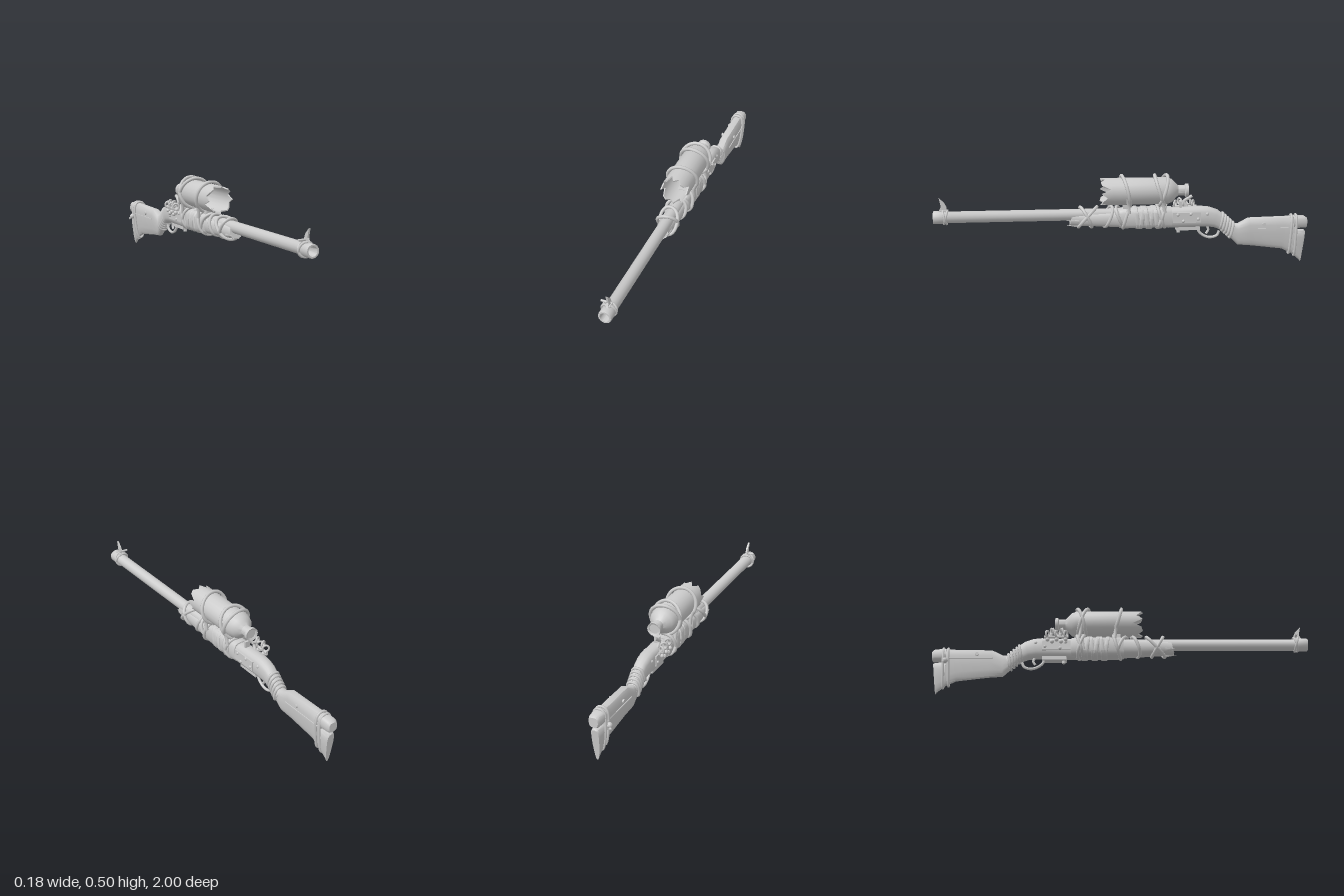
import * as THREE from 'three';
import { toCreasedNormals } from 'three/addons/utils/BufferGeometryUtils.js';

const grey = new THREE.MeshStandardMaterial({ color: 0xcccccc });
const greyDouble = new THREE.MeshStandardMaterial({ color: 0xcccccc, side: THREE.DoubleSide });

// A section is [topZ, topY, bottomZ, bottomY, halfWidth, bottomWidthRatio, yaw]
function ring([zt, yt, zb, yb, w, k = 1, yaw = 0], n = 16, power = 0.7) {
  const pts = [];
  for (let i = 0; i < n; i++) {
    const a = (i / n) * Math.PI * 2;
    const c = Math.cos(a), s = Math.sin(a);
    const t = (1 - Math.sign(s) * Math.abs(s) ** power) / 2;
    const x = Math.sign(c) * Math.abs(c) ** power * w * THREE.MathUtils.lerp(1, k, t);
    pts.push(new THREE.Vector3(x, THREE.MathUtils.lerp(yt, yb, t), THREE.MathUtils.lerp(zt, zb, t) + yaw * x));
  }
  return pts;
}

// Skin of sections running from front to back, with both ends closed
function loft(sections, power = 0.7, n = 16) {
  const pos = [], idx = [];
  const rings = sections.map(s => ring(s, n, power));
  rings.forEach(r => r.forEach(p => pos.push(p.x, p.y, p.z)));
  for (let i = 0; i < rings.length - 1; i++) {
    for (let j = 0; j < n; j++) {
      const a = i * n + j, b = i * n + (j + 1) % n;
      idx.push(a, a + n, b, b, a + n, b + n);
    }
  }
  [0, rings.length - 1].forEach(e => {
    const mid = new THREE.Vector3();
    rings[e].forEach(p => mid.addScaledVector(p, 1 / n));
    const c = pos.length / 3;
    pos.push(mid.x, mid.y, mid.z);
    for (let j = 0; j < n; j++) {
      const a = e * n + j, b = e * n + (j + 1) % n;
      idx.push(c, ...(e === 0 ? [a, b] : [b, a]));
    }
  });
  const g = new THREE.BufferGeometry();
  g.setAttribute('position', new THREE.Float32BufferAttribute(pos, 3));
  g.setIndex(idx);
  return toCreasedNormals(g, 0.7);
}

// Profile of [radius, z] turned about the long axis
function lathe(profile, segments) {
  const g = new THREE.LatheGeometry(profile.map(p => new THREE.Vector2(...p)), segments);
  return g.rotateX(Math.PI / 2);
}

const tube = (pts, r, closed = false, steps = 32) =>
  new THREE.TubeGeometry(new THREE.CatmullRomCurve3(pts, closed), steps, r, 7, closed);
const V = (x, y, z) => new THREE.Vector3(x, y, z);

export function createModel() {
  const model = new THREE.Group();
  const add = (name, geometry, x = 0, y = 0, z = 0, mat = grey) => {
    const m = new THREE.Mesh(geometry, mat);
    m.name = name;
    m.position.set(x, y, z);
    model.add(m);
    return m;
  };
  const rope = (name, section, r = 0.009, power = 1) =>
    add(name, tube(ring(section, 14, power), r, true, 48));

  // Hollow barrel with a thick muzzle
  const barrel = [[0.031, -0.2], [0.031, 0.93], [0.035, 0.94], [0.035, 0.995], [0.033, 1],
    [0.025, 1], [0.021, 0.96], [0.018, 0.85], [0, 0.85]];
  add('barrel', toCreasedNormals(lathe(barrel, 16), 0.6), 0.003, 0.289, 0, greyDouble);
  rope('muzzleBinding', [0.95, 0.326, 0.93, 0.252, 0.038], 0.006);
  rope('muzzleBinding', [0.925, 0.325, 0.945, 0.253, 0.037], 0.006);

  // Blade front sight, leaning forward to a point
  const blade = new THREE.Shape();
  [[0.925, 0.315], [0.975, 0.315], [0.958, 0.345], [0.968, 0.393], [0.94, 0.365], [0.93, 0.345]]
    .forEach(([z, y], i) => (i ? blade.lineTo(-z, y) : blade.moveTo(-z, y)));
  const bladeGeo = new THREE.ExtrudeGeometry(blade, { depth: 0.01, bevelEnabled: false });
  add('frontSight', bladeGeo.rotateY(Math.PI / 2).translate(-0.002, 0, 0));
  add('frontSightBase', new THREE.BoxGeometry(0.026, 0.014, 0.04), 0.003, 0.322, 0.945);
  add('sightPin', new THREE.CylinderGeometry(0.006, 0.006, 0.05, 8).rotateZ(Math.PI / 2), -0.015, 0.335, 0.94);

  // Wooden forend, receiver and curved grip
  add('forend', loft([
    [0.27, 0.298, 0.285, 0.234, 0.034], [0.22, 0.3, 0.22, 0.23, 0.04],
    [0.08, 0.305, 0.08, 0.222, 0.045], [-0.02, 0.31, -0.02, 0.216, 0.047],
  ]));
  add('receiver', loft([
    [0.02, 0.316, 0.02, 0.215, 0.045], [0, 0.322, 0, 0.212, 0.05],
    [-0.22, 0.324, -0.22, 0.212, 0.05], [-0.26, 0.322, -0.26, 0.21, 0.044],
  ], 0.6));
  add('grip', loft([
    [-0.24, 0.316, -0.24, 0.208, 0.042], [-0.42, 0.323, -0.41, 0.21, 0.04],
    [-0.465, 0.318, -0.445, 0.21, 0.039], [-0.51, 0.302, -0.485, 0.207, 0.036],
    [-0.555, 0.265, -0.535, 0.188, 0.031], [-0.61, 0.215, -0.59, 0.143, 0.029],
  ]));

  // Splinters at the front of the forend
  [[-0.03, 0.25, 0.27], [0.032, 0.262, 0.265], [0.012, 0.234, 0.27]].forEach(([x, y, z]) =>
    add('forendSplinter', new THREE.ConeGeometry(0.013, 0.06, 4).rotateX(Math.PI / 2), x, y, z));

  // Cloth bands around the receiver and wrist
  for (let i = 0; i < 6; i++) {
    const z = -0.06 - i * 0.026, lean = (i % 2 ? -1 : 1) * 0.008, w = 0.053 + (i % 3) * 0.002;
    add('receiverWrap', loft([
      [z + lean, 0.325, z - lean, 0.209, w - 0.004], [z - 0.005 + lean, 0.329, z - 0.005 - lean, 0.205, w],
      [z - 0.02 + lean, 0.329, z - 0.02 - lean, 0.205, w], [z - 0.025 + lean, 0.325, z - 0.025 - lean, 0.209, w - 0.004],
    ]));
  }
  for (let i = 0; i < 5; i++) {
    const z = -0.54 - i * 0.014, y = 0.282 - i * 0.013;
    rope('wristWrap', [z, y, z + 0.018, y - 0.083, 0.032], 0.0075, 0.8);
  }

  // Butt stock, with a heel and a toe piece split by a notch
  add('stock', loft([
    [-0.59, 0.222, -0.585, 0.143, 0.026], [-0.625, 0.224, -0.622, 0.105, 0.031, 0.7],
    [-0.68, 0.254, -0.7, 0.098, 0.034, 0.55], [-0.865, 0.258, -0.865, 0.077, 0.036, 0.5],
    [-0.935, 0.26, -0.93, 0.045, 0.036, 0.42],
  ]));
  add('heelPiece', loft([
    [-0.925, 0.26, -0.925, 0.192, 0.036], [-0.985, 0.258, -0.992, 0.192, 0.031], [-1, 0.248, -1, 0.196, 0.024],
  ]));
  add('toePiece', loft([
    [-0.925, 0.183, -0.925, 0.046, 0.036, 0.45], [-0.985, 0.182, -0.962, 0.015, 0.031, 0.4],
    [-0.992, 0.176, -0.972, 0.003, 0.025, 0.4],
  ]));
  rope('stockRope', [-0.915, 0.264, -0.905, 0.05, 0.041, 0.5], 0.007, 0.7);
  rope('stockRope', [-0.94, 0.264, -0.935, 0.038, 0.04, 0.5], 0.007, 0.7);
  add('ropeKnot', new THREE.SphereGeometry(0.015, 10, 8), -0.045, 0.18, -0.925);
  add('ropeTail', tube([V(-0.04, 0.18, -0.925), V(-0.05, 0.172, -0.93), V(-0.058, 0.165, -0.94)], 0.006, false, 8));
  [-1, 1].forEach(s => {
    add('stockScrew', new THREE.CylinderGeometry(0.01, 0.01, 0.008, 10).rotateZ(Math.PI / 2), s * 0.036, 0.22, -0.76);
    add('stockCrack', new THREE.BoxGeometry(0.004, 0.004, 0.25), s * 0.035, 0.198, -0.8);
  });

  // Trigger and guard
  add('triggerGuard', tube([V(0, 0.215, -0.405), V(0, 0.185, -0.41), V(0, 0.158, -0.44),
    V(0, 0.149, -0.475), V(0, 0.16, -0.51), V(0, 0.185, -0.522)], 0.0075));
  add('trigger', tube([V(0, 0.215, -0.455), V(0, 0.19, -0.462), V(0, 0.17, -0.45)], 0.007, false, 10));
  add('lowerPlate', new THREE.BoxGeometry(0.045, 0.018, 0.13), 0, 0.204, -0.35);
  add('plateBolt', new THREE.CylinderGeometry(0.01, 0.01, 0.03, 8), 0, 0.195, -0.3);

  // Lock plates and rivets on both sides
  [-1, 1].forEach(s => {
    add('lockPlate', new THREE.BoxGeometry(0.01, 0.055, 0.15), s * 0.04, 0.268, -0.34);
    [[0.285, -0.29], [0.25, -0.32], [0.287, -0.36], [0.26, -0.4], [0.285, -0.45]].forEach(([y, z]) =>
      add('rivet', new THREE.SphereGeometry(0.009, 8, 6), s * (z < -0.43 ? 0.036 : 0.044), y, z));
  });

  // Exposed lock works on the right side: coils, beads and a hammer
  for (let i = 0; i < 5; i++) {
    const z = -0.29 - i * 0.024;
    const coil = add('lockCoil', new THREE.TorusGeometry(0.017, 0.006, 6, 12), -0.062, 0.325 + (i % 2) * 0.012, z);
    coil.rotation.y = 0.5 * (i % 2 ? 1 : -1);
    add('lockBead', new THREE.SphereGeometry(0.011, 8, 6), -0.064, 0.292 - (i % 2) * 0.012, z);
  }
  add('lockRod', new THREE.CylinderGeometry(0.008, 0.008, 0.13, 8).rotateX(Math.PI / 2), -0.055, 0.31, -0.34);
  add('hammer', tube([V(-0.02, 0.31, -0.35), V(-0.025, 0.345, -0.335), V(-0.02, 0.365, -0.36), V(-0.02, 0.375, -0.375)], 0.009, false, 14));
  add('rearSight', new THREE.BoxGeometry(0.03, 0.035, 0.012), 0, 0.335, -0.31);

  // Broken bottle used as a scope; its front rim is jagged
  const profile = [[0.027, -0.335], [0.026, -0.345], [0.036, -0.35], [0.036, -0.335], [0.028, -0.33],
    [0.028, -0.295], [0.042, -0.28], [0.062, -0.262], [0.072, -0.235], [0.073, 0], [0.073, 0.06],
    [0.073, 0.105], [0.066, 0.105], [0.066, 0.06], [0.066, -0.225], [0.04, -0.265], [0.02, -0.3], [0, -0.3]];
  const bottle = lathe(profile, 20);
  const p = bottle.attributes.position;
  const jag = [0.015, -0.03, 0.01, 0, -0.02, 0.012, -0.035, 0.008, 0.015, -0.01];
  for (let i = 0; i < p.count; i++) {
    if (p.getZ(i) > 0.1) p.setZ(i, p.getZ(i) + jag[Math.floor(i / profile.length) % 10]);
  }
  add('bottleScope', toCreasedNormals(bottle, 0.6), 0, 0.41, 0, greyDouble);
  add('bottleCork', new THREE.CylinderGeometry(0.026, 0.026, 0.03, 14).rotateX(Math.PI / 2), 0, 0.41, -0.327);

  // Ropes around the bottle
  [[0.005, -0.035], [-0.17, -0.225], [-0.235, -0.185]].forEach(([zt, zb], i) =>
    rope('bottleRope', [zt, 0.494, zb, 0.33, 0.081, 1, i === 1 ? 0.1 : -0.1], 0.0095));

  // Ropes around receiver and forend
  [[-0.035, 0.0], [-0.185, -0.225], [-0.23, -0.19]].forEach(([zt, zb]) =>
    rope('receiverRope', [zt, 0.335, zb, 0.212, 0.06, 1, 0.12], 0.009, 0.85));
  [[0.06, 0.1], [0.14, 0.235], [0.225, 0.17], [0.035, -0.01]].forEach(([zt, zb], i) =>
    rope('forendRope', [zt, 0.328, zb, 0.222, 0.052, 1, i % 2 ? 0.25 : -0.2], 0.009, 0.9));

  // Lashings that tie the bottle down on each side
  [-1, 1].forEach(s => [[-0.02, -0.03], [-0.2, -0.22]].forEach(([a, b]) =>
    add('lashing', tube([V(s * 0.074, 0.385, a), V(s * 0.06, 0.345, (a + b) / 2), V(s * 0.058, 0.3, b)], 0.009, false, 12))));
  [-0.02, -0.2].forEach(z => add('bottleSaddle', new THREE.BoxGeometry(0.05, 0.03, 0.04), 0, 0.333, z));

  return model;
}
